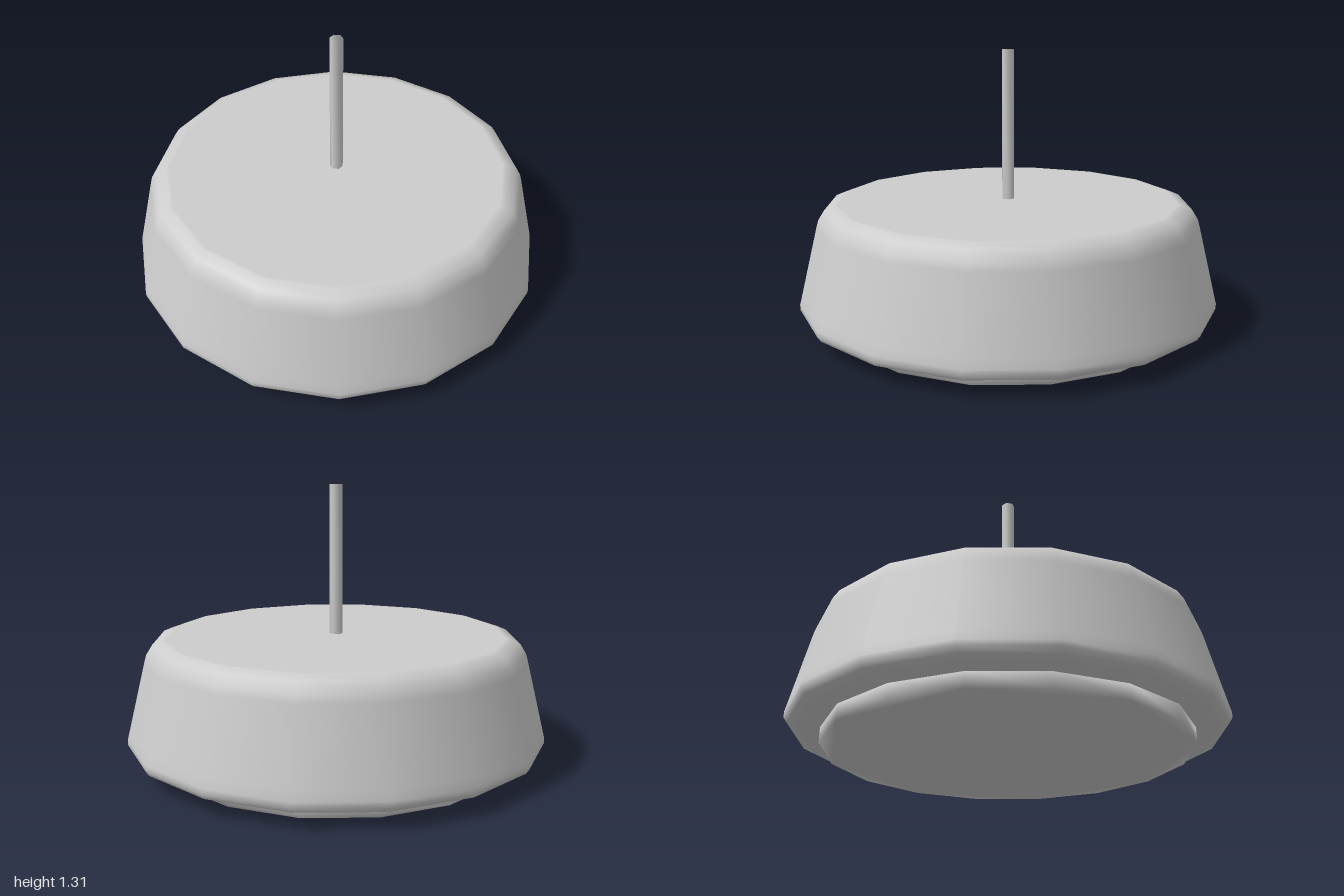
import * as THREE from 'three';
import { mergeVertices } from 'three/addons/utils/BufferGeometryUtils.js';

// Upright prism whose caps share smooth normals with its side
function softPrism(radius, sides, bottom, top) {
  const corners = [];
  for (let i = 0; i < sides; i++) {
    const a = (i / sides) * Math.PI * 2;
    corners.push(new THREE.Vector2(Math.sin(a) * radius, Math.cos(a) * radius));
  }
  let geometry = new THREE.ExtrudeGeometry(new THREE.Shape(corners), {
    depth: top - bottom, bevelEnabled: false,
  });
  geometry.rotateX(-Math.PI / 2).translate(0, bottom, 0);
  geometry.deleteAttribute('normal');
  geometry.deleteAttribute('uv');
  geometry = mergeVertices(geometry, 1e-4);
  geometry.computeVertexNormals();
  return geometry;
}

export function createModel() {
  const group = new THREE.Group();
  const grey = new THREE.MeshStandardMaterial({ color: 0xcccccc });
  grey.name = 'light grey';

  const add = (name, geometry) => {
    const mesh = new THREE.Mesh(geometry, grey);
    mesh.name = name;
    group.add(mesh);
  };

  // Tapered housing with rounded rims, turned in sixteen facets
  const profile = [
    [0, 0.07], [0.92, 0.07], [0.94, 0.07], [0.985, 0.082], [1, 0.105], [1, 0.13],
    [0.99, 0.17], [0.91, 0.5], [0.9, 0.535], [0.872, 0.58], [0.825, 0.6],
    [0.81, 0.6], [0, 0.6],
  ].map(([r, y]) => new THREE.Vector2(r, y));
  add('housing', new THREE.LatheGeometry(profile, 16));

  // Shallow disc set below the housing
  add('bottomDisc', softPrism(0.84, 16, 0, 0.075));

  // Thin hanging rod
  add('rod', softPrism(0.031, 6, 0.59, 1.31));

  return group;
}
